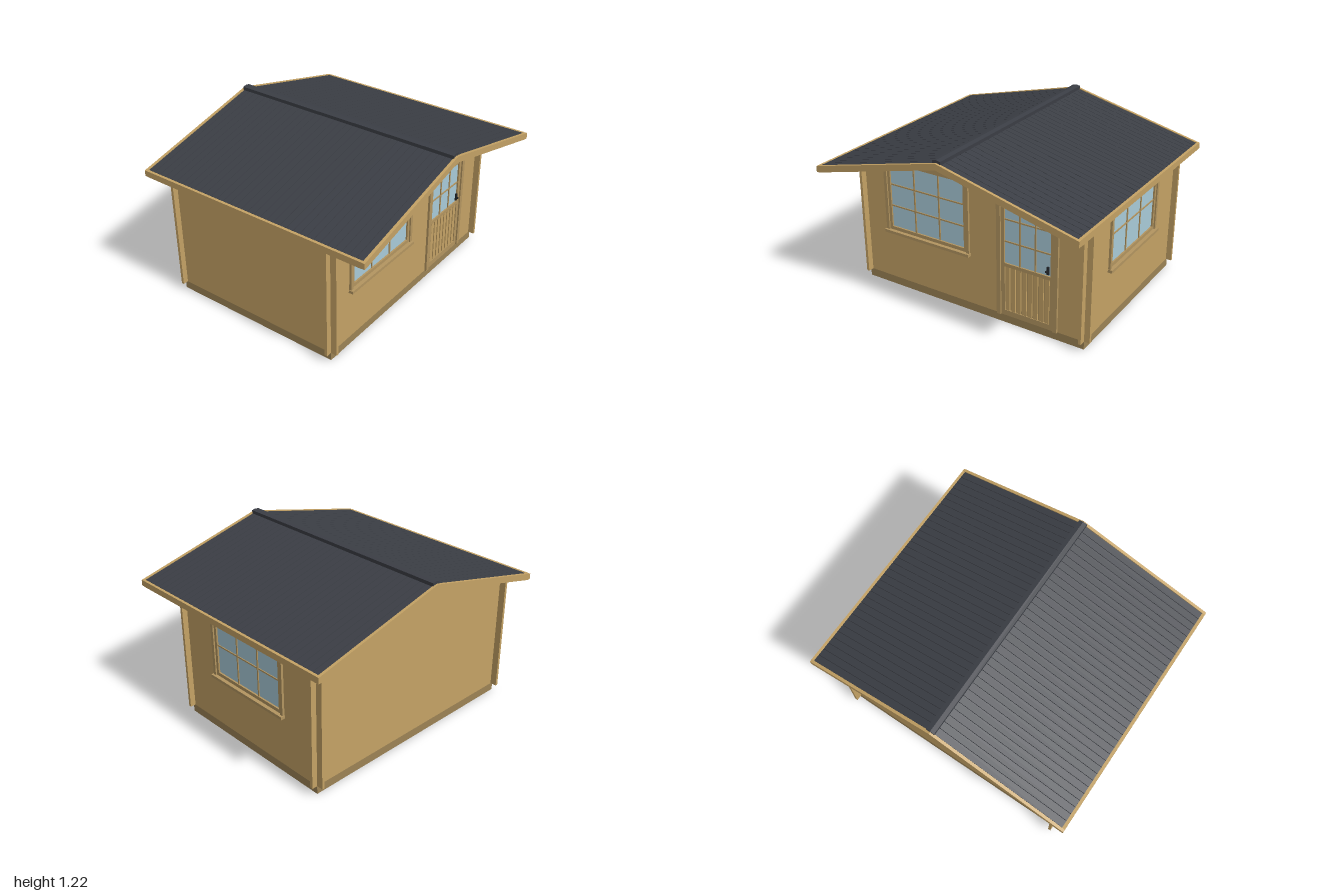
import * as THREE from 'three';

const mat = (color) => new THREE.MeshStandardMaterial({ color });
const wood = mat(0xc4a265), trim = mat(0xb39560), base = mat(0x9c8355), floorWood = mat(0x6b5636);
const roofing = mat(0x3b3e45), glassMat = mat(0xa9cbd9), metal = mat(0x23262a);

const roofY = (x) => 1.205 - 0.245 * Math.abs(x);
const WALL = 0.02, FRONT = 0.56, BACK = -0.74, SIDE = 0.885;

function add(parent, name, geometry, material) {
  const mesh = new THREE.Mesh(geometry, material);
  mesh.name = name;
  parent.add(mesh);
  return mesh;
}

// Box given by its limits on each axis
function box(parent, name, [x0, x1], [y0, y1], [z0, z1], material) {
  const m = add(parent, name, new THREE.BoxGeometry(x1 - x0, y1 - y0, z1 - z0), material);
  m.position.set((x0 + x1) / 2, (y0 + y1) / 2, (z0 + z1) / 2);
  return m;
}

// Flat outline with rectangular holes, extruded from z0 to z1
function slab(parent, name, points, [z0, z1], material, holes = []) {
  const shape = new THREE.Shape(points.map(([x, y]) => new THREE.Vector2(x, y)));
  for (const [x0, x1, y0, y1] of holes) {
    shape.holes.push(new THREE.Path([[x0, y0], [x0, y1], [x1, y1], [x1, y0]].map(([x, y]) => new THREE.Vector2(x, y))));
  }
  const geo = new THREE.ExtrudeGeometry(shape, { depth: z1 - z0, bevelEnabled: false });
  geo.translate(0, 0, z0);
  return add(parent, name, geo, material);
}

const rect = (x0, x1, y0, y1) => [[x0, y0], [x1, y0], [x1, y1], [x0, y1]];

// Glass with a lattice of bars; z = 0 is the outer wall face
function glazing(parent, [x0, x1, y0, y1], cols, rows) {
  box(parent, 'glass', [x0, x1], [y0, y1], [-0.014, -0.006], glassMat);
  const r = 0.005;
  for (let i = 1; i < cols; i++) {
    const x = x0 + (x1 - x0) * i / cols;
    box(parent, 'verticalGlazingBar', [x - r, x + r], [y0, y1], [-0.018, 0.001], trim);
  }
  for (let i = 1; i < rows; i++) {
    const y = y0 + (y1 - y0) * i / rows;
    box(parent, 'horizontalGlazingBar', [x0, x1], [y - r, y + r], [-0.017, 0], trim);
  }
}

// Window: casing, sash, sill and panes, sized by its glass
function windowUnit(parent, g, cols, rows) {
  const unit = new THREE.Group();
  unit.name = 'window';
  const [x0, x1, y0, y1] = g;
  const sash = [x0 - 0.022, x1 + 0.022, y0 - 0.025, y1 + 0.024];
  const casing = [x0 - 0.046, x1 + 0.046, y0 - 0.03, y1 + 0.044];
  slab(unit, 'casing', rect(...casing), [-0.025, 0.016], trim, [sash]);
  slab(unit, 'sash', rect(...sash), [-0.022, 0.006], trim, [g]);
  box(unit, 'sill', [casing[0] - 0.005, casing[1] + 0.005], [y0 - 0.046, y0 - 0.025], [0, 0.032], trim);
  glazing(unit, g, cols, rows);
  parent.add(unit);
}

// Door: casing, leaf, glazed top, slatted lower panel and handle
function doorUnit(parent) {
  const door = new THREE.Group();
  door.name = 'door';
  const glass = [0.285, 0.632, 0.455, 0.93], panel = [0.288, 0.629, 0.1, 0.43];
  slab(door, 'casing', [[0.23, 0.06], [0.26, 0.06], [0.26, 0.967], [0.66, 0.967], [0.66, 0.06], [0.69, 0.06], [0.69, 0.992], [0.23, 0.992]], [-0.025, 0.016], trim);
  slab(door, 'leaf', rect(0.26, 0.66, 0.06, 0.967), [-0.022, 0.005], trim, [glass, panel]);
  box(door, 'lowerPanel', [panel[0], panel[1]], [panel[2], panel[3]], [-0.018, -0.006], trim);
  const step = (panel[1] - panel[0]) / 8;
  for (let i = 0; i < 8; i++) {
    const x = panel[0] + step * i;
    box(door, 'slat', [x + 0.006, x + step - 0.006], [panel[2], panel[3]], [-0.006, 0.002], wood);
  }
  glazing(door, glass, 3, 3);
  box(door, 'handlePlate', [0.608, 0.622], [0.47, 0.525], [0, 0.012], metal);
  box(door, 'handleLever', [0.606, 0.616], [0.49, 0.502], [0.012, 0.026], metal);
  parent.add(door);
}

export function createModel() {
  const model = new THREE.Group();
  model.name = 'gardenCabin';

  // Foundation frame and joists
  for (const s of [-1, 1]) {
    box(model, 'foundationSideBeam', s < 0 ? [-SIDE, -SIDE + 0.02] : [SIDE - 0.02, SIDE], [0, 0.06], [BACK, FRONT], base);
  }
  box(model, 'foundationFrontBeam', [-SIDE + 0.02, SIDE - 0.02], [0, 0.06], [FRONT - 0.02, FRONT], base);
  box(model, 'foundationBackBeam', [-SIDE + 0.02, SIDE - 0.02], [0, 0.06], [BACK, BACK + 0.02], base);
  for (let i = 0; i < 6; i++) {
    const x = (i - 2.5) * 0.248;
    box(model, 'floorJoist', [x - 0.02, x + 0.02], [0, 0.06], [BACK + 0.02, FRONT - 0.02], wood);
  }

  // Floor boards
  const floorCount = 26, floorStep = (FRONT - BACK - 2 * WALL) / floorCount;
  for (let i = 0; i < floorCount; i++) {
    const z = BACK + WALL + i * floorStep;
    box(model, 'floorBoard', [-SIDE + WALL, SIDE - WALL], [0.06, 0.075], [z + 0.0015, z + floorStep - 0.0015], floorWood);
  }

  // Gable walls, running past the corners
  const top = (x) => roofY(x) - 0.028;
  const gable = [[-0.925, 0.06], [0.925, 0.06], [0.925, top(0.925)], [0, top(0)], [-0.925, top(0.925)]];
  const frontWindow = [-0.645, -0.035, 0.47, 0.95];
  const front = new THREE.Group();
  front.name = 'frontWall';
  front.position.z = FRONT;
  slab(front, 'frontWallPanel', gable, [-WALL, 0], wood, [[-0.665, -0.015, 0.45, 0.97], [0.25, 0.67, 0.065, 0.975]]);
  windowUnit(front, frontWindow, 3, 3);
  doorUnit(front);
  model.add(front);
  slab(model, 'backWall', gable, [BACK, BACK + WALL], wood);

  // Side walls; local x runs toward the back on the left wall
  const left = new THREE.Group();
  left.name = 'leftWall';
  left.position.x = SIDE;
  left.rotation.y = Math.PI / 2;
  slab(left, 'leftWallPanel', rect(-0.605, 0.787, 0.06, top(SIDE)), [-WALL, 0], wood, [[-0.235, 0.415, 0.45, 0.9]]);
  windowUnit(left, [-0.215, 0.4, 0.47, 0.882], 3, 2);
  model.add(left);
  box(model, 'rightWall', [-SIDE, -SIDE + WALL], [0.06, top(SIDE)], [-0.787, 0.605], wood);

  // Roof boards on both slopes, laid down the slope with narrow gaps
  const count = 34, step = 1.74 / count;
  for (const s of [-1, 1]) {
    const section = [[0, roofY(0) - 0.005], [s * 0.98, roofY(0.98) - 0.003], [s * 0.98, roofY(0.98) - 0.026], [0, top(0)]];
    for (let i = 0; i < count; i++) {
      const z = -0.87 + i * step;
      slab(model, 'roofBoard', section, [z + 0.0015, z + step - 0.0015], roofing);
    }
    box(model, 'eaveFascia', s < 0 ? [-1, -0.98] : [0.98, 1], [0.917, 0.961], [-0.87, 0.87], wood);
  }

  // Bargeboards on both gables
  const barge = [[0, roofY(0)], [-1, 0.96], [-1, 0.919], [-0.978, 0.919], [0, 1.162], [0.978, 0.919], [1, 0.919], [1, 0.96]];
  slab(model, 'frontBargeboard', barge, [0.87, 0.89], wood);
  slab(model, 'backBargeboard', barge, [-0.89, -0.87], wood);

  // Ridge cap
  slab(model, 'ridgeCap', [[-0.03, 1.193], [0, 1.2], [0.03, 1.193], [0.03, 1.217], [0, 1.223], [-0.03, 1.217]], [-0.875, 0.875], roofing);

  return model;
}
